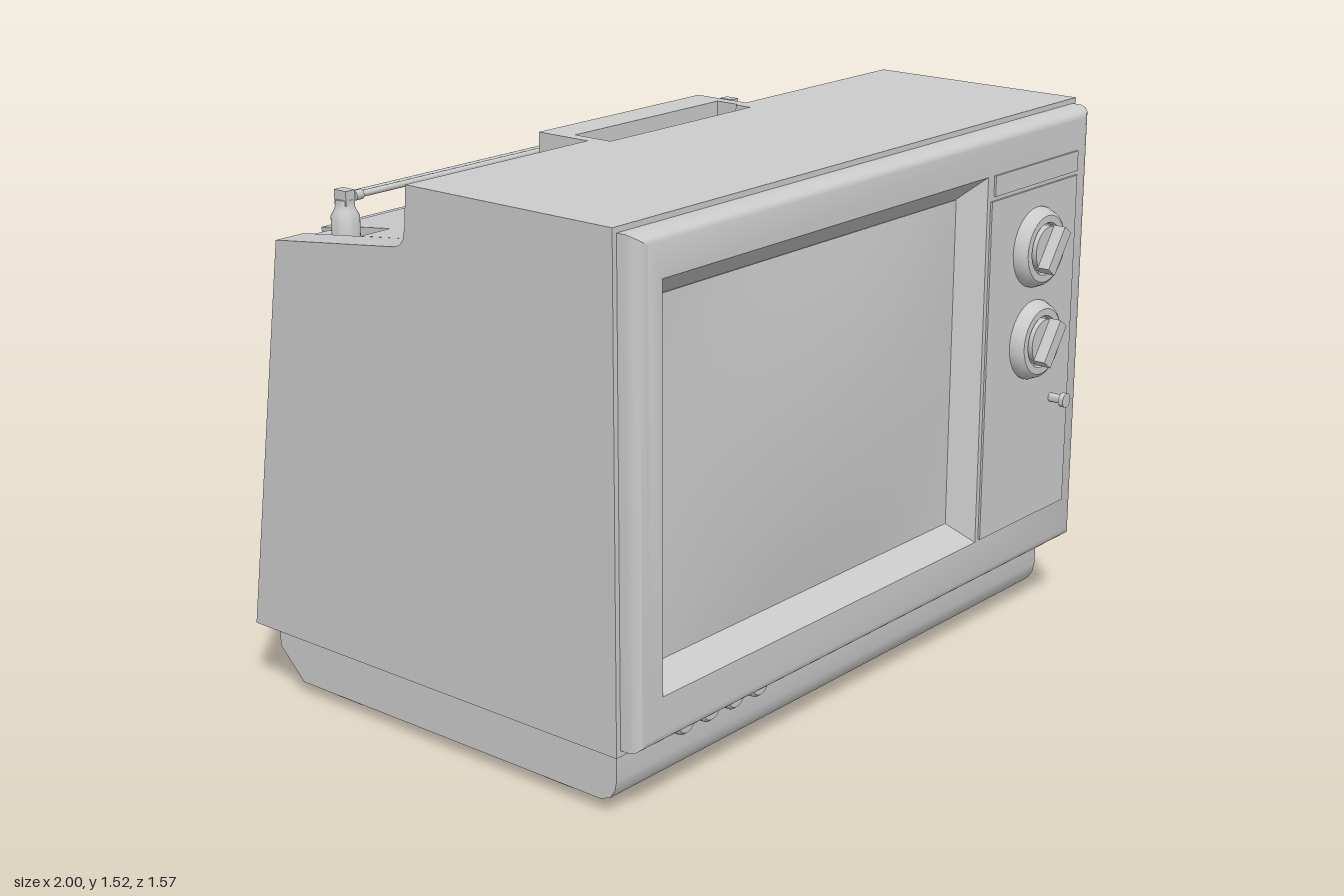
import * as THREE from 'three';
import { toCreasedNormals } from 'three/addons/utils/BufferGeometryUtils.js';

const grey = new THREE.MeshStandardMaterial({ color: 0xcccccc });

export function createModel() {
  const root = new THREE.Group();

  const add = (name, geo, x = 0, y = 0, z = 0, parent = root) => {
    const m = new THREE.Mesh(geo, grey);
    m.name = name;
    m.position.set(x, y, z);
    parent.add(m);
    return m;
  };
  const group = (name) => {
    const g = new THREE.Group();
    g.name = name;
    root.add(g);
    return g;
  };
  // Side profile given as [z, y], extruded from x0 to x1
  const slab = (pts, x0, x1) => {
    const shape = new THREE.Shape(pts.map(([z, y]) => new THREE.Vector2(-z, y)));
    const g = new THREE.ExtrudeGeometry(shape, { depth: x1 - x0, bevelEnabled: false });
    return toCreasedNormals(g.rotateY(Math.PI / 2).translate(x0, 0, 0), 0.6);
  };
  const box = (x0, x1, y0, y1, z0, z1) =>
    new THREE.BoxGeometry(x1 - x0, y1 - y0, z1 - z0)
      .translate((x0 + x1) / 2, (y0 + y1) / 2, (z0 + z1) / 2);
  // Lathe profile [radius, height]; optionally turned to point along +z
  const turned = (pts, forward = false) => {
    const g = new THREE.LatheGeometry(pts.map(p => new THREE.Vector2(...p)), 32);
    return toCreasedNormals(forward ? g.rotateX(Math.PI / 2) : g, 0.6);
  };

  // Cabinet: side-by-side slices, each cut where it meets a slot or recess
  const inside = (x, a, b) => x > a && x < b;
  const cabinetProfile = (x) => {
    const slot = inside(x, -0.3, 0.29);
    const post = inside(x, -0.905, -0.8) || inside(x, 0.675, 0.78);
    const recess = inside(x, 0.27, 0.89);
    const notch = inside(x, -0.54, -0.4);
    return [
      [0.635, 0.19], [0.635, 1.525],
      ...(slot ? [[0.01, 1.525], [0.01, 1.372]]
        : [[-0.04, 1.525], [-0.048, 1.42], [-0.055, 1.385], [-0.068, 1.368]]),
      [-0.09, 1.36],
      ...(post ? [[-0.31, 1.333], [-0.31, 1.295], [-0.531, 1.295]] : [[-0.53, 1.305]]),
      ...(recess ? [[-0.582, 0.94], [-0.575, 0.93], [-0.58, 0.7], [-0.592, 0.56],
        [-0.612, 0.46], [-0.635, 0.405], [-0.663, 0.375]] : []),
      ...(notch ? [[-0.673, 0.31], [-0.62, 0.31], [-0.62, 0.19]] : [[-0.69, 0.19]]),
    ];
  };
  const cabinet = group('cabinet');
  const cuts = [-1, -0.905, -0.8, -0.54, -0.4, -0.3, 0.27, 0.29, 0.675, 0.78, 0.89, 1];
  for (let i = 0; i < cuts.length - 1; i++) {
    const [a, b] = [cuts[i], cuts[i + 1]];
    add('cabinetSlice', slab(cabinetProfile((a + b) / 2), a, b), 0, 0, 0, cabinet);
  }

  // Picture tube housing, narrowing towards the back
  const housing = slab([[-0.5, 1.275], [-0.53, 1.27], [-0.785, 1.225], [-0.785, 0.62],
    [-0.778, 0.58], [-0.76, 0.535], [-0.73, 0.48], [-0.695, 0.43], [-0.655, 0.39], [-0.5, 0.39]], -1, 1);
  const hp = housing.attributes.position;
  for (let i = 0; i < hp.count; i++) {
    const half = 0.45 + (hp.getZ(i) + 0.53) * 0.235;
    hp.setX(i, -0.223 + hp.getX(i) * half);
  }
  add('tubeHousing', toCreasedNormals(housing, 0.6));

  // Carrying handle
  const handle = group('handle');
  add('handleBar', box(-0.3, 0.3, 1.46, 1.525, -0.215, -0.115), 0, 0, 0, handle);
  for (const s of [-1, 1])
    add('handleLeg', box(-0.0175, 0.0175, 1.335, 1.525, -0.215, -0.04), s * 0.3175, 0, 0, handle);

  // Front frame: rectangular loops from the rounded outer rim to the screen opening
  const loops = [ // x0, x1, y0, y1, z
    [-0.985, 0.985, 0.207, 1.51, 0.63], [-0.985, 0.985, 0.207, 1.51, 0.662],
    [-0.98, 0.98, 0.212, 1.505, 0.68], [-0.97, 0.97, 0.222, 1.497, 0.693],
    [-0.95, 0.95, 0.24, 1.485, 0.70], [-0.9, 0.46, 0.34, 1.395, 0.70],
    [-0.835, 0.4, 0.4, 1.335, 0.636],
  ];
  const verts = [], faces = [];
  loops.forEach(([x0, x1, y0, y1, z], k) => {
    verts.push(x0, y0, z, x1, y0, z, x1, y1, z, x0, y1, z);
    if (k === 0) return;
    for (let i = 0; i < 4; i++) {
      const a = 4 * (k - 1) + i, b = 4 * (k - 1) + (i + 1) % 4;
      faces.push(a, b, b + 4, a, b + 4, a + 4);
    }
  });
  const frame = new THREE.BufferGeometry();
  frame.setAttribute('position', new THREE.Float32BufferAttribute(verts, 3));
  frame.setIndex(faces);
  add('frontFrame', toCreasedNormals(frame, 0.6));

  // Bulging screen
  const screen = new THREE.PlaneGeometry(1.235, 0.935, 16, 12);
  const sp = screen.attributes.position;
  for (let i = 0; i < sp.count; i++) {
    const u = sp.getX(i) / 0.6175, v = sp.getY(i) / 0.4675;
    sp.setZ(i, 0.03 * (1 - u * u) * (1 - v * v));
  }
  screen.computeVertexNormals();
  add('screen', screen, -0.2175, 0.8675, 0.638);

  // Control panel with two dials and a push button
  add('controlPanel', box(0.475, 0.91, 0.345, 1.325, 0.69, 0.706));
  add('panelStrip', box(0.49, 0.91, 1.337, 1.395, 0.69, 0.706));
  for (const y of [1.155, 0.885]) {
    const dial = group('dial');
    dial.position.set(0.705, y, 0.7);
    add('dialRing', turned([[0.115, 0], [0.115, 0.012], [0.105, 0.035], [0.095, 0.042],
      [0.075, 0.042], [0.07, 0.03], [0, 0.03]], true), 0, 0, 0, dial);
    add('dialHub', turned([[0.066, 0.02], [0.066, 0.05], [0, 0.05]], true), 0, 0, 0, dial);
    const grip = add('dialGrip', box(-0.066, 0.066, -0.02, 0.02, 0.04, 0.085), 0, 0, 0, dial);
    grip.rotation.z = 0.95;
  }
  add('pushButton', turned([[0.013, 0], [0.013, 0.045], [0.021, 0.045], [0.021, 0.06], [0, 0.06]], true),
    0.82, 0.685, 0.7);

  // Plinth, small knobs under the frame, and feet
  add('plinth', slab([[0.595, 0.2], [0.595, 0.1], [0.588, 0.07], [0.572, 0.047], [0.54, 0.035],
    [-0.555, 0.035], [-0.645, 0.12], [-0.645, 0.2]], -0.955, 0.955));
  for (let i = 0; i < 4; i++)
    add('lowerKnob', turned([[0.04, 0], [0.04, 0.03], [0.032, 0.04], [0, 0.04]], true),
      -0.725 + i * 0.1, 0.192, 0.59);
  const r = 0.1025, c = 0.06;
  const footShape = new THREE.Shape();
  footShape.absarc(r - c, r - c, c, 0, Math.PI / 2);
  footShape.absarc(c - r, r - c, c, Math.PI / 2, Math.PI);
  footShape.absarc(c - r, c - r, c, Math.PI, Math.PI * 1.5);
  footShape.absarc(r - c, c - r, c, Math.PI * 1.5, Math.PI * 2);
  const foot = toCreasedNormals(new THREE.ExtrudeGeometry(footShape,
    { depth: 0.04, bevelEnabled: false, curveSegments: 6 }).rotateX(-Math.PI / 2), 0.6);
  for (const x of [-0.8025, 0.8025])
    for (const z of [0.3525, -0.4275]) add('foot', foot, x, 0, z);

  // Folded aerials lying between two posts
  const aerial = group('aerial');
  for (const x of [-0.855, 0.73]) {
    add('aerialPost', turned([[0.038, 0], [0.038, 0.07], [0.03, 0.085], [0.024, 0.1], [0.024, 0.115],
      [0.012, 0.115], [0.012, 0.12], [0, 0.12]]), x, 1.29, -0.42, aerial);
    add('aerialHinge', box(-0.016, 0.016, 1.39, 1.43, -0.022, 0.022), x, 0, -0.42, aerial);
  }
  const rod = (name, x0, x1, rad, z) =>
    add(name, new THREE.CylinderGeometry(rad, rad, x1 - x0, 12).rotateZ(Math.PI / 2),
      (x0 + x1) / 2, 1.41, z, aerial);
  rod('aerialRod', -0.855, 0.69, 0.009, -0.432);
  rod('aerialTip', 0.68, 0.705, 0.014, -0.432);
  rod('aerialRod', -0.815, 0.73, 0.009, -0.412);
  rod('aerialTip', -0.83, -0.805, 0.014, -0.412);

  return root;
}
